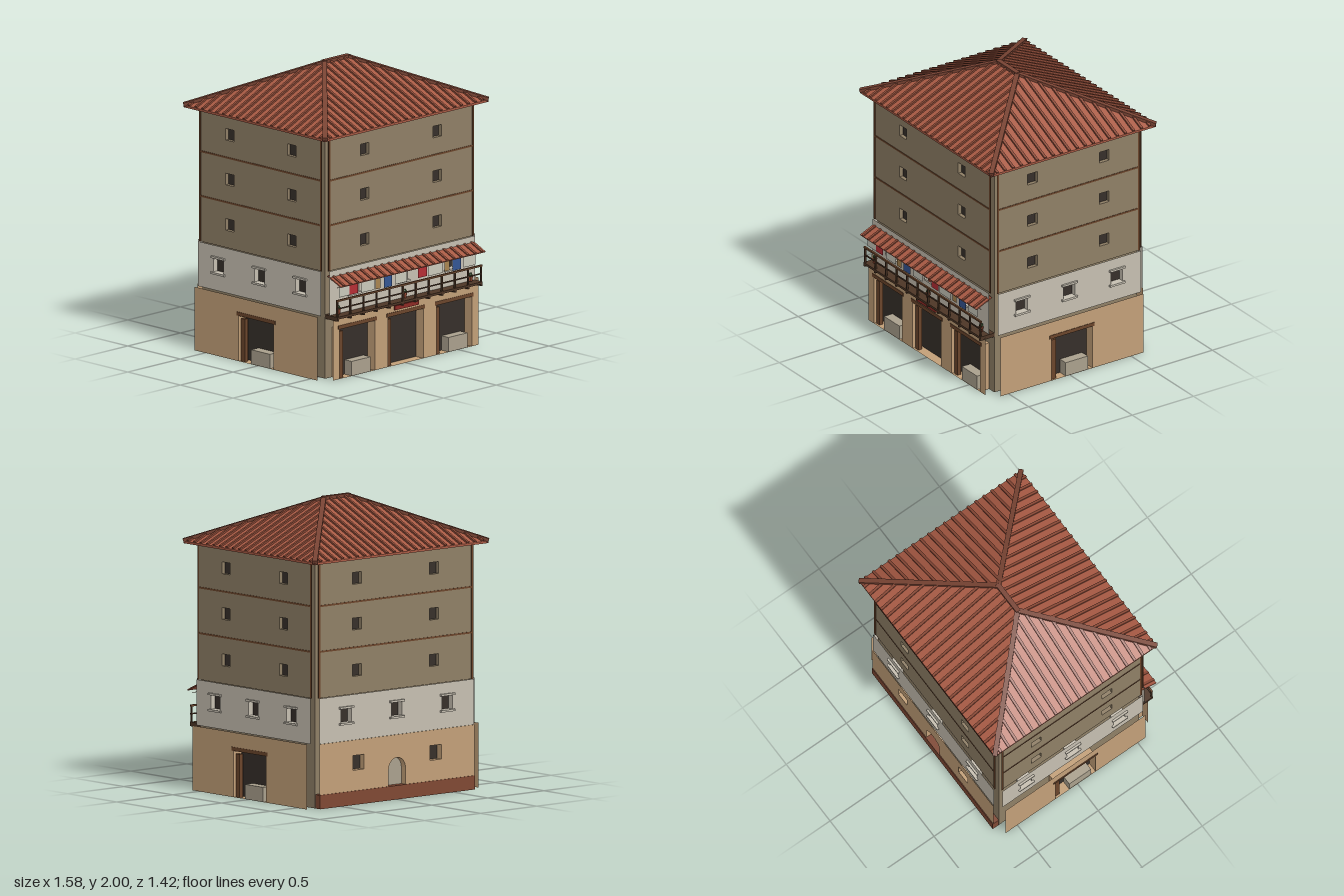
import * as THREE from 'three';

const mat = (color, side = THREE.FrontSide) => new THREE.MeshStandardMaterial({ color, side, flatShading: true });
const DS = THREE.DoubleSide;
const M = {
  olive: mat(0x8f7f66, DS), plaster: mat(0xc6bfb1, DS), tan: mat(0xc29f78, DS),
  wood: mat(0x6b452b), darkWood: mat(0x4d3626), dark: mat(0x362f2a), stone: mat(0xaaa08d),
  tile: mat(0xa85a44), rib: mat(0x8a4936), ridge: mat(0x784333), brick: mat(0x7f4833),
  red: mat(0xb52d35, DS), blue: mat(0x345592, DS), ochre: mat(0xa98450, DS), linen: mat(0xcac8bb, DS),
  pot: mat(0xa5523a), leaf: mat(0x3c5a30), sign: mat(0x8c2a24),
};

function add(parent, name, geometry, material, x = 0, y = 0, z = 0) {
  const m = new THREE.Mesh(geometry, material);
  m.name = name;
  m.position.set(x, y, z);
  parent.add(m);
  return m;
}
const box = (p, name, material, w, h, d, x, y, z) => add(p, name, new THREE.BoxGeometry(w, h, d), material, x, y, z);

// Square bar running between two points
function bar(parent, name, material, a, b, w, h) {
  const A = new THREE.Vector3(...a), B = new THREE.Vector3(...b);
  const m = new THREE.Mesh(new THREE.BoxGeometry(w, h, A.distanceTo(B)), material);
  m.name = name;
  m.position.copy(A).add(B).multiplyScalar(0.5);
  m.lookAt(B);
  parent.add(m);
}

const rect = (x, y, w, h) => [[x - w / 2, y], [x + w / 2, y], [x + w / 2, y + h], [x - w / 2, y + h]];
function arch(x, y, w, h) {
  const r = w / 2, pts = [[x - r, y], [x + r, y]];
  for (let i = 0; i <= 10; i++) {
    const a = Math.PI * i / 10;
    pts.push([x + r * Math.cos(a), y + h - r + r * Math.sin(a)]);
  }
  return pts;
}
const toVecs = pts => pts.map(p => new THREE.Vector2(...p));

// Thin wall panel standing off the core, with lined openings and a backing in each
function panel(parent, name, material, half, y0, y1, depth, openings, backing = () => M.dark) {
  const shape = new THREE.Shape(toVecs(rect(0, y0, half * 2, y1 - y0)));
  openings.forEach((pts, n) => {
    shape.holes.push(new THREE.Path(toVecs(pts)));
    const pos = [], idx = [], c = pts.length;
    pts.forEach(([x, y], i) => {
      const j = (i + 1) % c;
      pos.push(x, y, 0, x, y, depth);
      idx.push(i * 2, i * 2 + 1, j * 2, j * 2, i * 2 + 1, j * 2 + 1);
    });
    const g = new THREE.BufferGeometry();
    g.setAttribute('position', new THREE.Float32BufferAttribute(pos, 3));
    g.setIndex(idx);
    const flat = g.toNonIndexed();
    flat.computeVertexNormals();
    add(parent, name + 'Reveal', flat, material);
    add(parent, name + 'Opening', new THREE.ShapeGeometry(new THREE.Shape(toVecs(pts))), backing(n), 0, 0, 0.003);
  });
  add(parent, name, new THREE.ShapeGeometry(shape), material, 0, 0, depth);
}

// One facade: local x along the wall, z outward from the core
function facade(name, half, upperX, midX, ground) {
  const g = new THREE.Group();
  g.name = name;
  const upper = [];
  for (const y of [0.91, 1.225, 1.535]) for (const s of [-1, 1]) upper.push(rect(s * upperX, y - 0.04, 0.08, 0.08));
  panel(g, 'upperWall', M.olive, half, 0.75, 1.675, 0.03, upper);
  for (const y of [1.065, 1.375]) box(g, 'floorBand', M.wood, half * 2, 0.012, 0.004, 0, y, 0.031);
  for (const s of [-1, 1]) box(g, 'cornerPost', M.wood, 0.016, 0.925, 0.005, s * (half - 0.008), 1.2125, 0.031);

  const xs = [-midX, 0, midX];
  panel(g, 'middleWall', M.plaster, half, 0.44, 0.75, 0.042, xs.map(x => rect(x, 0.565, 0.095, 0.095)));
  for (const x of xs) for (const y of [0.558, 0.668]) box(g, 'windowLedge', M.plaster, 0.125, 0.014, 0.026, x, y, 0.043);
  ground(g);
  return g;
}

// Shop openings with lintel, inner post and counter
function shops(g, half, depth, height, doors) {
  panel(g, 'groundWall', M.tan, half, 0, 0.44, depth, doors.map(d => rect(d.x, 0, 0.335, height)));
  for (const { x, counter } of doors) {
    box(g, 'lintel', M.wood, 0.365, 0.026, 0.03, x, height + 0.013, depth - 0.012);
    box(g, 'doorPost', M.wood, 0.035, height - 0.02, 0.03, x - 0.14, (height - 0.02) / 2, depth - 0.03);
    if (counter) box(g, 'counter', M.stone, 0.18, 0.1, depth - 0.005, x + 0.04, 0.05, depth / 2);
  }
}

function plant(parent, x, y, z) {
  add(parent, 'flowerPot', new THREE.CylinderGeometry(0.017, 0.012, 0.035, 8), M.pot, x, y + 0.0175, z);
  add(parent, 'plantLeaves', new THREE.IcosahedronGeometry(0.016, 0), M.leaf, x, y + 0.045, z);
}

function hipRoof() {
  const g = new THREE.Group();
  g.name = 'roof';
  const X = 0.775, Z = 0.672, R = 0.11, y0 = 1.67, y1 = 1.685, top = 1.985;
  const pos = [];
  for (const y of [y0, y1]) pos.push(-X, y, Z, X, y, Z, X, y, -Z, -X, y, -Z);
  pos.push(-R, top, 0, R, top, 0);
  const idx = [0, 2, 1, 0, 3, 2, 4, 5, 9, 4, 9, 8, 5, 6, 9, 6, 7, 8, 6, 8, 9, 7, 4, 8];
  for (let i = 0; i < 4; i++) {
    const j = (i + 1) % 4;
    idx.push(i, j, j + 4, i, j + 4, i + 4);
  }
  const geo = new THREE.BufferGeometry();
  geo.setAttribute('position', new THREE.Float32BufferAttribute(pos, 3));
  geo.setIndex(idx);
  const flat = geo.toNonIndexed();
  flat.computeVertexNormals();
  add(g, 'roofSlopes', flat, M.tile);

  // Tile ribs climb each slope until they meet a hip or the ridge
  const yAt = t => top + (y1 - top) * t + 0.003;
  for (const s of [-1, 1]) {
    for (let i = -11; i <= 11; i++) {
      const x = i * 0.0655, t = Math.max(0, (Math.abs(x) - R) / (X - R));
      bar(g, 'tileRib', M.rib, [x, yAt(1), s * Z], [x, yAt(t), s * Z * t], 0.018, 0.018);
    }
    for (let i = -10; i < 10; i++) {
      const z = (i + 0.5) * 0.0655, t = Math.abs(z) / Z;
      bar(g, 'tileRib', M.rib, [s * X, yAt(1), z], [s * (R + (X - R) * t), yAt(t), z], 0.018, 0.018);
    }
    for (const q of [-1, 1]) bar(g, 'hipCap', M.ridge, [s * X, y1 + 0.004, q * Z], [s * R, top, 0], 0.034, 0.026);
  }
  box(g, 'ridgeCap', M.ridge, R * 2 + 0.02, 0.03, 0.034, 0, top, 0);
  g.position.z = -0.022;
  return g;
}

function balcony() {
  const g = new THREE.Group();
  g.name = 'balcony';
  box(g, 'balconyFloor', M.darkWood, 1.38, 0.016, 0.115, 0, 0.437, 0.6235);
  for (let i = 0; i < 12; i++) {
    const x = -0.682 + i * 0.124;
    box(g, 'railPost', M.darkWood, 0.011, 0.12, 0.011, x, 0.5, 0.673);
    box(g, 'joist', M.darkWood, 0.014, 0.014, 0.115, x, 0.423, 0.6235);
  }
  box(g, 'topRail', M.wood, 1.38, 0.012, 0.013, 0, 0.556, 0.673);
  box(g, 'middleRail', M.darkWood, 1.38, 0.008, 0.008, 0, 0.5, 0.673);
  for (const x of [-0.63, 0, 0.625]) plant(g, x, 0.45, 0.63);
  plant(g, 0, 0.565, 0.614);

  // Laundry line: centre x, width, height, cloth
  box(g, 'laundryLine', M.darkWood, 1.36, 0.003, 0.003, 0, 0.645, 0.667);
  const cloths = [
    [-0.61, 0.1, 0.07, M.linen], [-0.52, 0.08, 0.07, M.red], [-0.385, 0.12, 0.075, M.linen],
    [-0.288, 0.048, 0.075, M.ochre], [-0.195, 0.08, 0.08, M.blue], [-0.07, 0.115, 0.075, M.linen],
    [0.132, 0.083, 0.07, M.red], [0.255, 0.14, 0.075, M.linen], [0.365, 0.048, 0.07, M.ochre],
    [0.457, 0.083, 0.08, M.blue], [0.58, 0.115, 0.075, M.linen],
  ];
  for (const [x, w, h, m] of cloths) add(g, 'laundry', new THREE.PlaneGeometry(w, h), m, x, 0.645 - h / 2, 0.667);

  // Tiled awning
  bar(g, 'awning', M.tile, [0, 0.658, 0.71], [0, 0.714, 0.585], 1.372, 0.008);
  for (let i = -10; i <= 10; i++) bar(g, 'awningRib', M.rib, [i * 0.0655, 0.663, 0.711], [i * 0.0655, 0.719, 0.585], 0.018, 0.012);
  box(g, 'signBoard', M.sign, 0.225, 0.03, 0.014, 0, 0.4, 0.645);
  return g;
}

export function createModel() {
  const model = new THREE.Group();
  model.name = 'townHouse';
  box(model, 'core', M.olive, 1.38, 1.68, 1.166, 0, 0.84, -0.017);

  const front = facade('frontFacade', 0.69, 0.345, 0.46, g => shops(g, 0.69, 0.074, 0.345,
    [{ x: -0.46, counter: true }, { x: 0 }, { x: 0.46, counter: true }]));
  front.position.z = 0.566;
  const back = facade('backFacade', 0.69, 0.345, 0.45, g => {
    panel(g, 'groundWall', M.tan, 0.69, 0, 0.44, 0.046,
      [rect(-0.345, 0.235, 0.1, 0.1), rect(0.345, 0.235, 0.1, 0.1), arch(0, 0.08, 0.15, 0.205)],
      n => (n === 2 ? M.stone : M.dark));
    box(g, 'plinth', M.brick, 1.38, 0.095, 0.05, 0, 0.0475, 0.026);
  });
  back.position.z = -0.6;
  back.rotation.y = Math.PI;
  model.add(front, back);
  for (const s of [-1, 1]) {
    const side = facade(s > 0 ? 'leftFacade' : 'rightFacade', 0.583, 0.293, 0.388,
      g => shops(g, 0.583, 0.074, 0.315, [{ x: 0, counter: true }]));
    side.position.set(s * 0.69, 0, -0.017);
    side.rotation.y = s * Math.PI / 2;
    model.add(side);
  }
  model.add(balcony(), hipRoof());
  return model;
}
